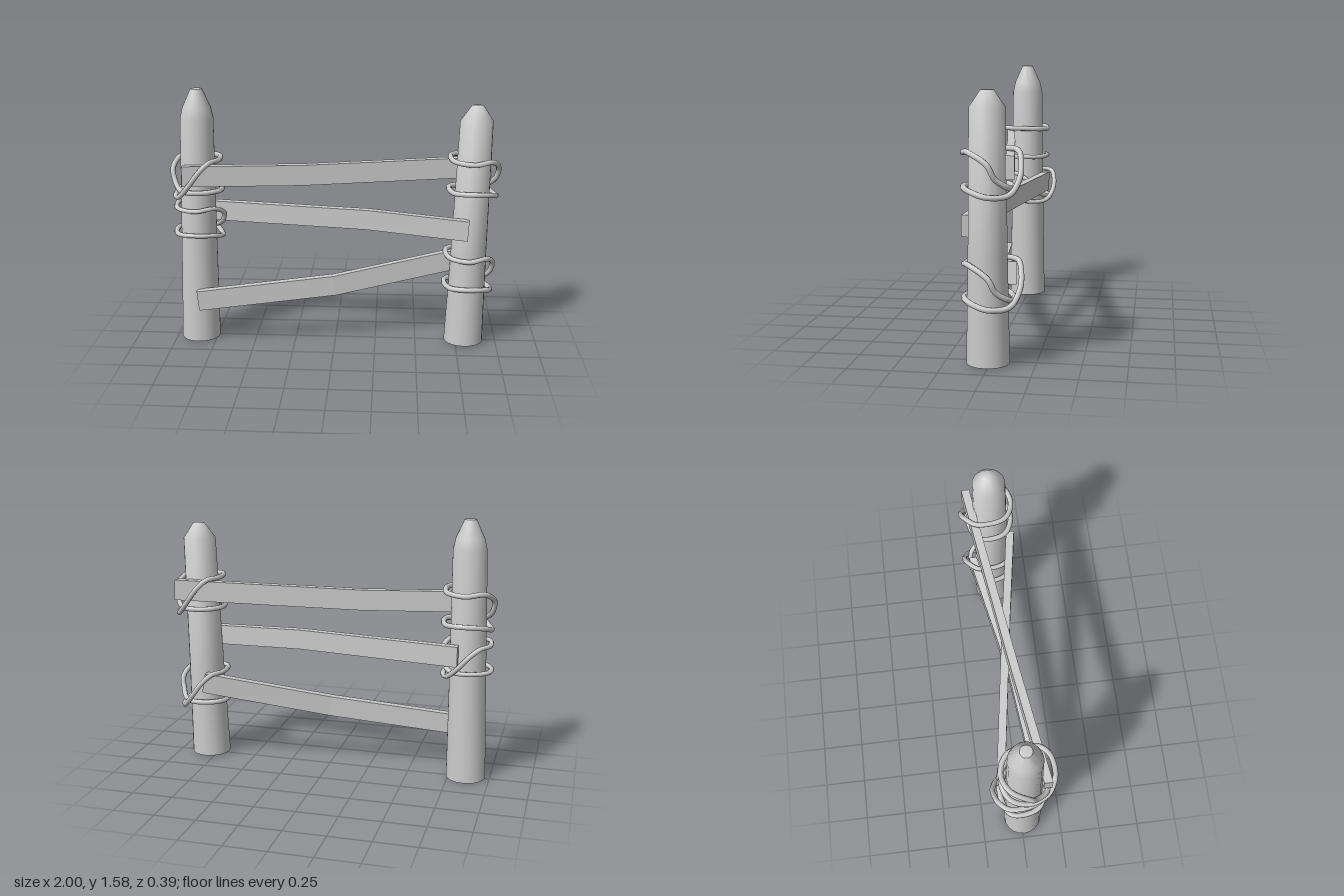
import * as THREE from 'three';
import { toCreasedNormals } from 'three/addons/utils/BufferGeometryUtils.js';

const smooth = new THREE.MeshStandardMaterial({ color: 0xcccccc });
const flat = new THREE.MeshStandardMaterial({ color: 0xcccccc, flatShading: true });

function add(parent, name, geometry, material) {
  const mesh = new THREE.Mesh(geometry, material);
  mesh.name = name;
  parent.add(mesh);
}

// Leaning tapered stake: profile of [radius, y], centre sliding from bottom to top
function post(profile, bottom, top) {
  const g = new THREE.LatheGeometry(profile.map(([r, y]) => new THREE.Vector2(r, y)), 20);
  const p = g.attributes.position;
  for (let i = 0; i < p.count; i++) {
    const t = p.getY(i) / 1.5;
    p.setX(i, p.getX(i) + THREE.MathUtils.lerp(bottom[0], top[0], t));
    p.setZ(i, p.getZ(i) + THREE.MathUtils.lerp(bottom[1], top[1], t));
  }
  return toCreasedNormals(g, 0.9);
}

// Plank through three centre points, bent at the middle one
function rail(points, height, depth) {
  const g = new THREE.BoxGeometry(2, height, depth, 2, 1, 1);
  const p = g.attributes.position;
  for (let i = 0; i < p.count; i++) {
    const k = Math.round(p.getX(i)) + 1;
    const a = points[Math.max(k - 1, 0)], b = points[Math.min(k + 1, 2)], c = points[k];
    const slope = (b[1] - a[1]) / (b[0] - a[0]);
    const y = p.getY(i);
    p.setXYZ(i, c[0] - slope * y, c[1] + y, c[2] + p.getZ(i));
  }
  g.computeVertexNormals();
  return g;
}

// Rope lashing: two turns round a post with a diagonal crossing the rail on +z
const ropePath = [
  [0.135, 0.09, 0.09], [0.11, 0.085, -0.08], [0, 0.08, -0.13], [-0.1, 0.09, -0.09],
  [-0.15, 0.03, 0.02], [-0.135, -0.045, 0.06], [-0.085, -0.095, 0.125],
  [0.02, -0.105, 0.135], [0.135, -0.1, 0.08], [0.115, -0.105, -0.08],
  [0, -0.1, -0.13], [-0.105, -0.11, -0.09], [-0.14, -0.14, 0.02], [-0.1, -0.13, 0.13],
  [-0.03, -0.05, 0.175], [0.03, 0.03, 0.175], [0.09, 0.085, 0.15],
];
function rope() {
  const curve = new THREE.CatmullRomCurve3(ropePath.map(p => new THREE.Vector3(...p)), true);
  return new THREE.TubeGeometry(curve, 110, 0.016, 8, true);
}

export function createModel() {
  const model = new THREE.Group();

  // Posts
  add(model, 'rightPost', post(
    [[0, 0], [0.12, 0], [0.11, 0.6], [0.1, 1.4], [0.085, 1.465], [0.035, 1.575], [0, 1.58]],
    [-0.855, 0.01], [-0.832, 0.01]), smooth);
  add(model, 'leftPost', post(
    [[0, 0.008], [0.12, 0.008], [0.108, 0.6], [0.098, 1.4], [0.035, 1.49], [0, 1.493]],
    [0.8, 0.01], [0.837, 0.005]), smooth);

  // Rails, weaving from one side of a post to the other side of the next
  add(model, 'topRail', rail([[-0.91, 1.07, 0.135], [-0.2, 1.063, 0.03], [0.945, 1.095, -0.13]], 0.125, 0.05), flat);
  add(model, 'middleRail', rail([[-0.8, 0.793, -0.12], [0.2, 0.79, 0.032], [0.8, 0.758, 0.13]], 0.122, 0.05), flat);
  add(model, 'bottomRail', rail([[-0.84, 0.283, 0.142], [0, 0.368, 0.047], [0.78, 0.505, -0.12]], 0.123, 0.05), flat);

  // Rope lashings: [name, x, y, turned to the back, height scale]
  const lashings = [
    ['topRightRope', -0.835, 1.07, false, 1],
    ['middleRightRope', -0.842, 0.78, true, 0.85],
    ['topLeftRope', 0.828, 1.08, true, 1],
    ['bottomLeftRope', 0.815, 0.48, true, 1],
  ];
  const ropeGeometry = rope();
  for (const [name, x, y, back, scale] of lashings) {
    add(model, name, ropeGeometry, smooth);
    const mesh = model.children[model.children.length - 1];
    mesh.position.set(x, y, 0.005);
    mesh.rotation.y = back ? Math.PI : 0;
    mesh.scale.y = scale;
  }
  return model;
}
